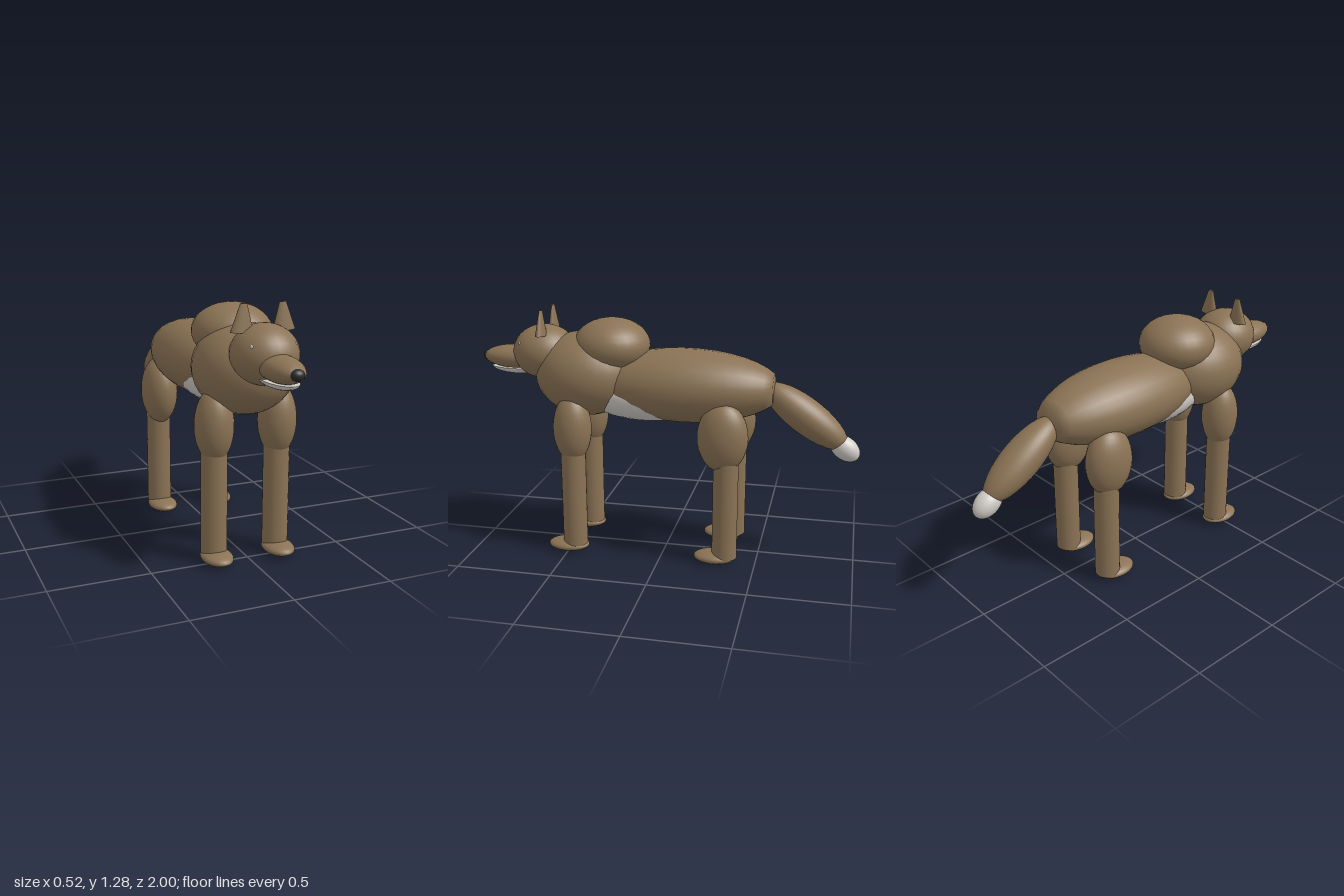
import * as THREE from 'three';

export function createModel() {
  const model = new THREE.Group();
  const mat = (name, color) => {
    const m = new THREE.MeshStandardMaterial({ color });
    m.name = name;
    return m;
  };
  const fur = mat('brown fur', 0x8b7355);
  const pale = mat('pale fur', 0xd0ccc6);
  const black = mat('black nose', 0x2a2a2a);

  const add = (name, geometry, material, pos, parent = model) => {
    const mesh = new THREE.Mesh(geometry, material);
    mesh.name = name;
    mesh.position.set(...pos);
    parent.add(mesh);
    return mesh;
  };
  const ellipsoid = (name, material, pos, radii, parent) =>
    add(name, new THREE.SphereGeometry(1, 28, 18).scale(...radii), material, pos, parent);

  // Torso: elliptical barrel with a blunt rear end
  const profile = [];
  for (let i = 0; i <= 16; i++) {
    const a = -Math.PI / 2 + (i / 16) * (Math.PI / 2 + Math.asin(0.91));
    profile.push(new THREE.Vector2(Math.max(0, Math.cos(a)), Math.sin(a) * 0.5));
  }
  profile.push(new THREE.Vector2(0, 0.465));
  const barrel = new THREE.LatheGeometry(profile, 28).rotateX(-Math.PI / 2).scale(0.23, 0.19, 1);
  add('body', barrel, fur, [0, 0.905, -0.1]);
  ellipsoid('belly', pale, [0, 0.85, 0.1], [0.185, 0.14, 0.36]);
  ellipsoid('chest', fur, [0, 0.945, 0.425], [0.245, 0.222, 0.275]);
  ellipsoid('shoulderHump', fur, [0, 1.1, 0.29], [0.198, 0.14, 0.2]);

  // Head
  ellipsoid('head', fur, [0, 1.05, 0.655], [0.16, 0.142, 0.167]);
  ellipsoid('snout', fur, [0, 1.015, 0.82], [0.088, 0.062, 0.172]);
  ellipsoid('nose', black, [0, 1.016, 0.968], [0.036, 0.028, 0.032]);

  // Lower jaw: half ellipsoid closed by a flat top
  const jaw = new THREE.Group();
  jaw.name = 'lowerJaw';
  model.add(jaw);
  const bowl = new THREE.SphereGeometry(1, 28, 8, 0, Math.PI * 2, Math.PI / 2, Math.PI / 2);
  add('jawBowl', bowl.scale(0.073, 0.037, 0.152), pale, [0, 0.962, 0.8], jaw);
  const lid = new THREE.CircleGeometry(1, 28).rotateX(-Math.PI / 2).scale(0.073, 1, 0.152);
  add('jawTop', lid, pale, [0, 0.962, 0.8], jaw);

  // Ears, eyes and legs, mirrored
  for (const [side, s] of [['left', 1], ['right', -1]]) {
    const earGeo = new THREE.CylinderGeometry(0.017, 0.057, 0.13, 20).scale(1, 1, 0.45);
    add(side + 'Ear', earGeo, fur, [s * 0.1, 1.215, 0.637]).rotation.z = s * 0.06;
    ellipsoid(side + 'Eye', pale, [s * 0.108, 1.104, 0.75], [0.007, 0.011, 0.011]);

    for (const [end, hipZ, hipR, shinZ, pawZ] of [
      ['Front', 0.465, 0.1, 0.465, 0.502],
      ['Rear', -0.32, 0.13, -0.34, -0.29],
    ]) {
      const leg = new THREE.Group();
      leg.name = side + end + 'Leg';
      model.add(leg);
      const x = s * 0.165;
      ellipsoid('upperLeg', fur, [x, 0.685, hipZ], [0.096, 0.182, hipR], leg);
      add('lowerLeg', new THREE.CylinderGeometry(0.065, 0.065, 0.57, 24), fur, [x, 0.32, shinZ], leg);
      ellipsoid('paw', fur, [x, 0.034, pawZ], [0.077, 0.032, 0.11], leg);
    }
  }

  // Drooping tail with a pale tip
  const tail = ellipsoid('tail', fur, [0, 0.775, -0.72], [0.1, 0.092, 0.26]);
  const tip = ellipsoid('tailTip', pale, [0, 0.617, -0.922], [0.059, 0.059, 0.086]);
  tail.rotation.x = tip.rotation.x = -0.62;

  return model;
}
